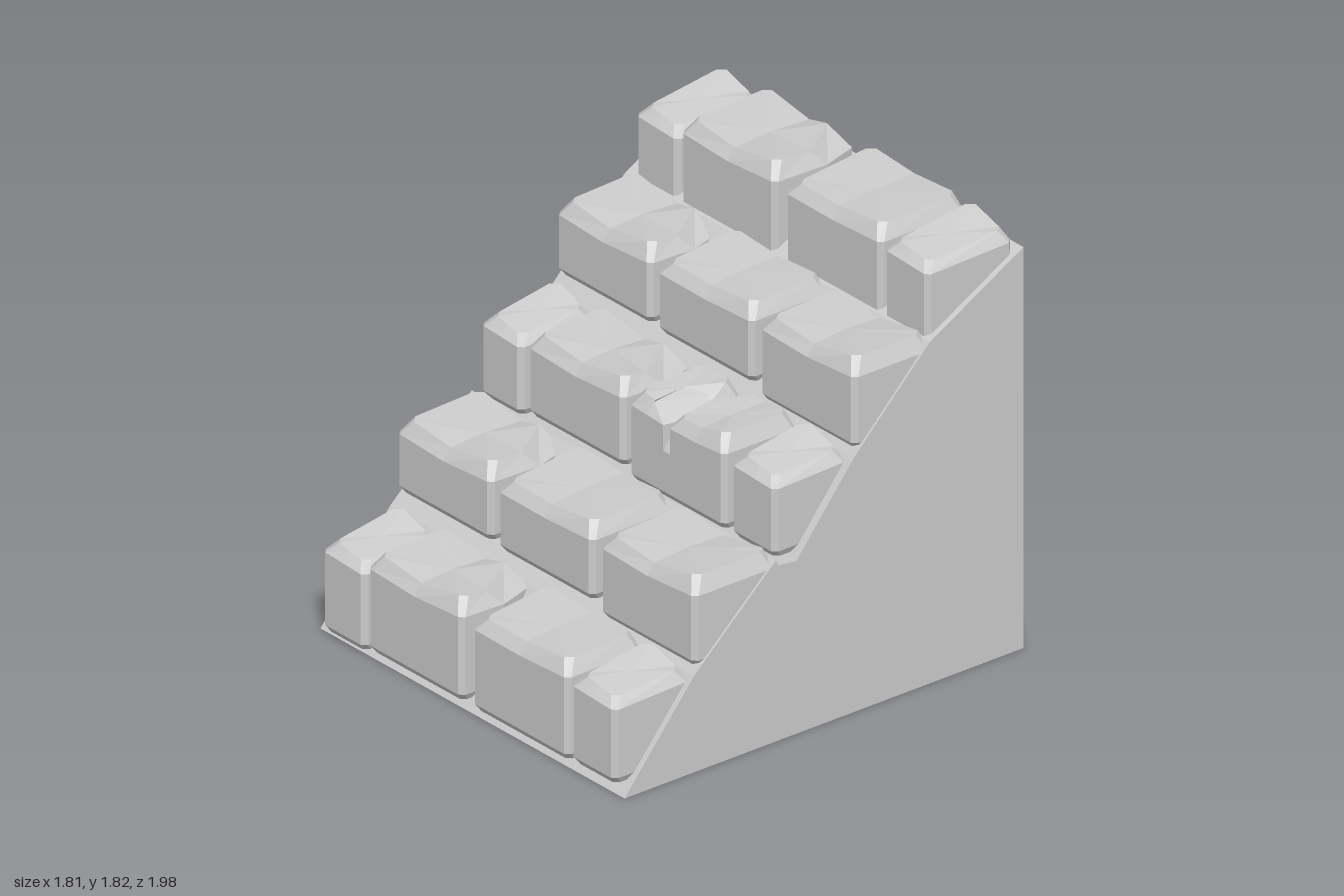
import * as THREE from 'three';

const stone = new THREE.MeshStandardMaterial({ color: 0xcccccc, flatShading: true });

// Outline of a block from above, front-left corner first, with cut corners
// and an extra point halfway along the front and back edges.
function outline(x0, x1, z0, z1, cuts) {
  const [fl, fr, br, bl] = cuts;
  return [
    [x0, z1 - fl[1]], [x0 + fl[0], z1], [(x0 + x1) / 2, z1], [x1 - fr[0], z1], [x1, z1 - fr[1]],
    [x1, z0 + br[1]], [x1 - br[0], z0], [(x0 + x1) / 2, z0], [x0 + bl[0], z0], [x0, z0 + bl[1]],
  ];
}

// Wear of a block. drop: how far the top corners sit below the top
// (front left, front right, back right, back left); dip: sag of the middle;
// slash: corner, width and depth of a broken corner.
const wear = {
  plain: { drop: [0.02, 0, 0, 0.01], dip: 0.03 },
  chipped: { drop: [0.01, 0, 0.01, 0], dip: 0.03, slash: [2, 0.14, 0.2] },
  tilted: { drop: [0.03, 0.01, 0, 0], dip: 0.015 },
  small: { drop: [0.04, 0.06, 0.04, 0], dip: 0 },
  body: { drop: [0, 0, 0, 0], dip: 0.01 },
  crackLeft: { drop: [0.01, 0.03, 0, 0], dip: 0, slash: [1, 0.09, 0.2] },
  crackRight: { drop: [0.03, 0, 0, 0.01], dip: 0.01, slash: [3, 0.07, 0.15] },
};

// One worn block, lofted through four outlines
function brick(kind, x0, x1, y0, y1, z0, z1) {
  const { drop, dip, slash } = wear[kind];
  const bevel = 0.065, inset = 0.035;
  const cuts = drop.map(() => [0.02, 0.02]);
  const topCuts = drop.map(() => [0.025, 0.03]);
  if (slash) {
    const [corner, width, depth] = slash;
    cuts[corner] = [width * 0.35, depth * 0.8];
    topCuts[corner] = [width, depth];
  }
  const [fl, fr, br, bl] = drop;
  const sag = [fl, fl, (fl + fr) / 2 + dip, fr, fr, br, br, (br + bl) / 2 + dip, bl, bl];
  const low = outline(x0 + 0.015, x1 - 0.015, z0 + 0.015, z1 - 0.02, cuts);
  const full = outline(x0, x1, z0, z1, cuts);
  const top = outline(x0 + inset, x1 - inset, z0 + 0.02, z1 - inset, topCuts);
  const rings = [
    low.map(p => [p[0], y0, p[1]]),
    full.map(p => [p[0], y0 + 0.03, p[1]]),
    full.map((p, i) => [p[0], y1 - bevel - sag[i] * 0.5, p[1]]),
    top.map((p, i) => [p[0], y1 - sag[i], p[1]]),
  ];
  const n = full.length, cx = (x0 + x1) / 2, cz = (z0 + z1) / 2;
  const index = [];
  for (let i = 0; i < n; i++) {
    const j = (i + 1) % n;
    for (let r = 0; r < 3 * n; r += n) {
      index.push(r + i, r + j, r + j + n, r + i, r + j + n, r + i + n);
    }
    index.push(4 * n, j, i, 4 * n + 1, 3 * n + i, 3 * n + j);
  }
  const mean = (fl + fr + br + bl) / 4;
  const points = [...rings.flat(), [cx, y0, cz], [cx, y1 - mean - dip * 0.7, cz]];
  const geo = new THREE.BufferGeometry();
  geo.setAttribute('position', new THREE.Float32BufferAttribute(points.flat(), 3));
  geo.setIndex(index);
  geo.computeVertexNormals();
  return new THREE.Mesh(geo, stone);
}

// Layouts of a course: kind of block, left end, right end, height of its foot
// above the course and (optionally) of its top below the course
const ends = [
  ['small', -0.86, -0.61, -0.02, 0.02],
  ['chipped', -0.59, -0.03, 0],
  ['tilted', 0.03, 0.6, 0],
  ['small', 0.62, 0.88, 0.01],
];
const thirds = [
  ['chipped', -0.88, -0.32, 0.05],
  ['tilted', -0.28, 0.285, 0.04],
  ['plain', 0.33, 0.895, 0],
];
// The third block is cracked: a body with a raised piece on each side of the crack
const cracked = [
  ['small', -0.88, -0.64, 0],
  ['chipped', -0.6, -0.03, 0.03],
  ['body', 0, 0.57, 0, 0.12],
  ['crackLeft', 0, 0.24, 0.14],
  ['crackRight', 0.23, 0.57, 0.14],
  ['small', 0.61, 0.87, 0],
];

// Each step: layout, foot, top, back, front
const steps = [
  [ends, 0.04, 0.465, 0.61, 0.98],
  [thirds, 0.43, 0.8, 0.2, 0.6],
  [cracked, 0.75, 1.14, -0.17, 0.19],
  [thirds, 1.1, 1.475, -0.56, -0.18],
  [ends, 1.39, 1.815, -0.97, -0.55],
];

export function createModel() {
  const model = new THREE.Group();
  model.name = 'stoneStairs';

  // Solid sloping core: side profile (z, y) extruded across the width
  const profile = [
    [-1, 0], [0.95, 0], [0.61, 0.41], [0.21, 0.77], [0.2, 0.745], [0.11, 0.735],
    [-0.17, 1.08], [-0.54, 1.45], [-1, 1.705],
  ];
  const shape = new THREE.Shape(profile.map(([z, y]) => new THREE.Vector2(-z, y)));
  const coreGeo = new THREE.ExtrudeGeometry(shape, { depth: 1.81, bevelEnabled: false });
  coreGeo.translate(0, 0, -0.905).rotateY(Math.PI / 2);
  const core = new THREE.Mesh(coreGeo, stone);
  core.name = 'slopedCore';
  model.add(core);

  // One course of blocks per step
  steps.forEach(([layout, foot, top, back, front], i) => {
    const course = new THREE.Group();
    course.name = `step${i + 1}`;
    layout.forEach(([kind, x0, x1, lift, lower = 0], k) => {
      const block = brick(kind, x0, x1, foot + lift, top - lower, back, front);
      block.name = `block${k + 1}`;
      course.add(block);
    });
    model.add(course);
  });
  return model;
}
